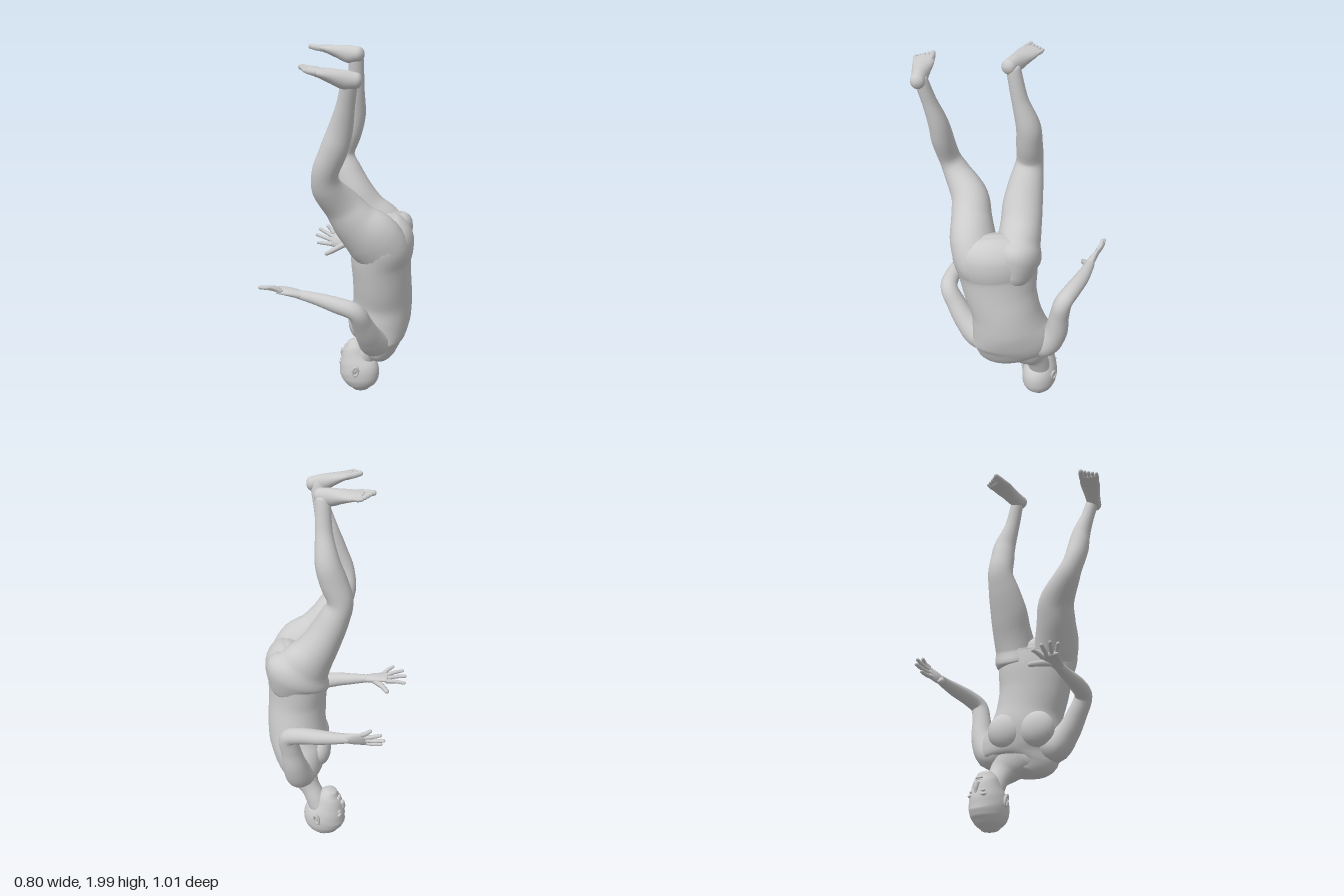
import * as THREE from 'three';

const material = new THREE.MeshStandardMaterial({ color: 0xcccccc, side: THREE.DoubleSide });
const V = (x, y, z) => new THREE.Vector3(x, y, z);

// Smooth loft through rows of [x, y, z, radius along ref, radius across], with rounded ends
function loft(name, rows, { ref = V(1, 0, 0), sides = 20, steps = 5, cap = 0.7 } = {}) {
  const path = new THREE.CatmullRomCurve3(rows.map(r => V(r[0], r[1], r[2])));
  const size = new THREE.CatmullRomCurve3(rows.map(r => V(r[3], r[4], 0)));
  const n = (rows.length - 1) * steps, pos = [], idx = [];
  let u = ref.clone(), rings = 0;
  const ring = (c, u, v, a, b) => {
    for (let j = 0; j < sides; j++) {
      const t = j / sides * Math.PI * 2;
      const p = c.clone().addScaledVector(u, a * Math.cos(t)).addScaledVector(v, b * Math.sin(t));
      pos.push(p.x, p.y, p.z);
    }
    rings++;
  };
  for (let i = 0; i <= n; i++) {
    const c = path.getPoint(i / n), s = size.getPoint(i / n), t = path.getTangent(i / n);
    u = u.addScaledVector(t, -u.dot(t)).normalize();
    const v = t.clone().cross(u);
    const end = dir => {
      for (let k = 1; k <= 4; k++) {
        const f = (dir < 0 ? 5 - k : k) / 4 * Math.PI / 2 * 0.98;
        const h = Math.min(s.x, s.y) * cap * Math.sin(f) * dir, q = Math.cos(f);
        ring(c.clone().addScaledVector(t, h), u, v, s.x * q, s.y * q);
      }
    };
    if (i === 0) end(-1);
    ring(c, u, v, s.x, s.y);
    if (i === n) end(1);
  }
  for (let i = 0; i < rings - 1; i++) for (let j = 0; j < sides; j++) {
    const k = (j + 1) % sides, a = i * sides, b = a + sides;
    idx.push(a + j, a + k, b + k, a + j, b + k, b + j);
  }
  const g = new THREE.BufferGeometry();
  g.setAttribute('position', new THREE.Float32BufferAttribute(pos, 3));
  g.setIndex(idx);
  g.computeVertexNormals();
  const m = new THREE.Mesh(g, material);
  m.name = name;
  return m;
}

function ball(name, p, r) {
  const m = new THREE.Mesh(new THREE.SphereGeometry(1, 20, 14), material);
  m.position.set(...p);
  m.scale.set(...r);
  m.name = name;
  return m;
}

function group(name, ...parts) {
  const g = new THREE.Group();
  g.name = name;
  return g.add(...parts);
}

// Finger or toe: a thin tapered loft through points
const digit = (name, pts, r) => loft(name,
  pts.map((p, i) => [...p, r * (1 - 0.14 * i), r * (1 - 0.14 * i)]), { ref: V(0.2, 0.9, 0.3), sides: 8, steps: 3, cap: 1 });

// Hand: palm loft, four fingers fanned from the knuckle line, and a thumb
function hand(name, palm, normal, knuckles, tips, thumb) {
  const g = group(name, loft('palm', palm, { ref: normal, sides: 16 }), digit('thumb', thumb, 0.018));
  const [a, b] = knuckles.map(k => V(...k));
  tips.forEach((tip, i) => {
    const base = a.clone().lerp(b, i / 3), end = V(...tip);
    const mid = base.clone().lerp(end, 0.5).addScaledVector(normal, 0.004);
    g.add(digit('finger', [base.toArray(), mid.toArray(), tip], 0.013));
  });
  return g;
}

// Foot with the sole upward at y = 0 and toes toward -x; side is the z sign of the big toe
function foot(name, side, position, rotation) {
  const g = group(name, loft('instep', [
    [0.022, -0.037, 0, 0.037, 0.036], [-0.03, -0.04, 0, 0.045, 0.04], [-0.09, -0.031, 0, 0.035, 0.047],
    [-0.15, -0.022, 0, 0.023, 0.055], [-0.2, -0.017, 0, 0.016, 0.05]], { ref: V(0, 1, 0) }));
  for (let i = 0; i < 5; i++) {
    const z = side * (0.036 - i * 0.021), tip = -0.242 + i * 0.007;
    const r = i === 0 ? 0.019 : 0.0145 - i * 0.0005;
    g.add(digit('toe', [[-0.17, -0.019, z * 0.9], [(tip - 0.18) / 2, -0.017, z], [tip, -0.013, z]], r));
  }
  g.position.set(...position);
  g.rotation.set(...rotation);
  return g;
}

function makeHead() {
  const g = group('head', loft('skull', [
    [0.015, -0.1, 0, 0.05, 0.047], [0.013, -0.075, 0, 0.086, 0.073], [0.01, -0.035, 0, 0.111, 0.091],
    [0.003, 0.01, 0, 0.119, 0.095], [-0.012, 0.06, 0, 0.104, 0.088], [-0.02, 0.1, 0, 0.084, 0.076],
    [-0.026, 0.15, 0, 0.062, 0.06], [-0.035, 0.182, 0, 0.036, 0.038]], { sides: 28, cap: 0.3 }));
  g.add(loft('nose', [[-0.1, 0.068, 0, 0.01, 0.009], [-0.104, 0.092, 0, 0.012, 0.012],
    [-0.097, 0.114, 0, 0.017, 0.017]], { sides: 12 }));
  for (const y of [0.136, 0.147]) g.add(ball('lip', [-0.08, y, 0], [0.011, 0.007, 0.024]));
  for (const s of [-1, 1]) {
    g.add(ball('eye', [-0.092, 0.074, s * 0.034], [0.011, 0.009, 0.016]));
    g.add(ball('brow', [-0.096, 0.054, s * 0.035], [0.011, 0.01, 0.024]));
    // Ear: a rim around a shallow bowl
    const rim = new THREE.Mesh(new THREE.TorusGeometry(0.022, 0.007, 8, 20), material);
    rim.name = 'earRim';
    rim.scale.set(0.75, 1.3, 1);
    const ear = group('ear', rim, ball('earBowl', [-0.004, 0.004, -s * 0.005], [0.016, 0.026, 0.008]));
    ear.position.set(0.022, 0.035, s * 0.095);
    ear.rotation.set(s * 0.15, s * 0.3, -0.2);
    g.add(ear);
  }
  g.position.set(0.1, 0.12, -0.172);
  g.rotation.y = -0.35;
  return g;
}

export function createModel() {
  const model = group('invertedFigure', makeHead());

  // Neck and trunk, from the shoulders up to the hips
  model.add(loft('neck', [
    [0.13, 0.2, -0.172, 0.062, 0.062], [0.172, 0.29, -0.15, 0.054, 0.06], [0.205, 0.35, -0.115, 0.072, 0.09],
    [0.22, 0.43, -0.05, 0.1, 0.15]]));
  model.add(loft('torso', [
    [0.2, 0.335, -0.045, 0.06, 0.115], [0.22, 0.385, -0.032, 0.105, 0.195], [0.23, 0.46, -0.03, 0.138, 0.225],
    [0.236, 0.56, -0.01, 0.16, 0.2], [0.241, 0.66, 0.008, 0.159, 0.184], [0.236, 0.78, 0.036, 0.157, 0.193],
    [0.23, 0.9, 0.05, 0.161, 0.21], [0.237, 0.99, 0.06, 0.166, 0.223], [0.222, 1.04, 0.064, 0.143, 0.2],
    [0.205, 1.07, 0.068, 0.1, 0.14]], { sides: 32, cap: 0.25 }));
  for (const z of [-0.09, 0.075]) model.add(ball('chestMuscle', [0.13, 0.535, z], [0.07, 0.1, 0.1]));

  // Legs, starting inside the hips
  model.add(loft('rightLeg', [
    [0.24, 0.86, 0.11, 0.1, 0.09], [0.244, 0.95, 0.15, 0.142, 0.118], [0.195, 1.03, 0.178, 0.15, 0.118],
    [0.105, 1.12, 0.201, 0.118, 0.106], [0.04, 1.21, 0.22, 0.096, 0.098],
    [-0.03, 1.32, 0.298, 0.077, 0.07], [-0.035, 1.4, 0.336, 0.066, 0.057], [0.01, 1.52, 0.358, 0.068, 0.058],
    [0.042, 1.62, 0.37, 0.061, 0.051], [0.072, 1.75, 0.405, 0.044, 0.037], [0.092, 1.86, 0.435, 0.039, 0.034]],
  { sides: 24 }));
  model.add(loft('leftLeg', [
    [0.24, 0.86, -0.015, 0.1, 0.09], [0.244, 0.95, -0.047, 0.144, 0.112], [0.197, 1.04, -0.056, 0.144, 0.112],
    [0.135, 1.13, -0.062, 0.11, 0.106], [0.09, 1.21, -0.064, 0.095, 0.103],
    [0.04, 1.32, -0.077, 0.08, 0.088], [0.008, 1.42, -0.09, 0.067, 0.07], [0.04, 1.53, -0.09, 0.071, 0.067],
    [0.07, 1.63, -0.087, 0.064, 0.062], [0.085, 1.78, -0.045, 0.043, 0.041], [0.087, 1.93, -0.015, 0.038, 0.035]],
  { sides: 24 }));
  model.add(foot('rightFoot', -1, [0.108, 1.9, 0.447], [0.08, 0.02, -0.12]));
  model.add(foot('leftFoot', 1, [0.085, 1.983, -0.005], [-0.1, -0.42, -0.06]));

  // Arms
  const armRef = V(0.8, 0, 0.6);
  model.add(loft('rightArm', [
    [0.22, 0.49, 0.06, 0.09, 0.09], [0.205, 0.45, 0.152, 0.083, 0.083], [0.18, 0.51, 0.228, 0.067, 0.065],
    [0.15, 0.6, 0.29, 0.054, 0.053], [0.115, 0.685, 0.336, 0.046, 0.047], [0.02, 0.715, 0.325, 0.042, 0.042],
    [-0.09, 0.735, 0.293, 0.031, 0.033], [-0.18, 0.747, 0.272, 0.022, 0.026]], { ref: armRef }));
  model.add(loft('leftArm', [
    [0.22, 0.49, -0.09, 0.09, 0.09], [0.235, 0.445, -0.198, 0.082, 0.082], [0.26, 0.54, -0.262, 0.066, 0.064],
    [0.283, 0.66, -0.281, 0.053, 0.052], [0.292, 0.755, -0.3, 0.049, 0.047], [0.235, 0.79, -0.338, 0.044, 0.044],
    [0.14, 0.807, -0.382, 0.038, 0.039], [0.06, 0.815, -0.408, 0.03, 0.031], [-0.005, 0.822, -0.425, 0.023, 0.025]],
  { ref: armRef }));

  // Hands
  model.add(hand('rightHand',
    [[-0.16, 0.744, 0.277, 0.021, 0.026], [-0.22, 0.755, 0.264, 0.019, 0.042], [-0.285, 0.762, 0.255, 0.013, 0.05]],
    V(0, 1, 0), [[-0.28, 0.755, 0.22], [-0.275, 0.768, 0.292]],
    [[-0.38, 0.75, 0.2], [-0.39, 0.768, 0.245], [-0.38, 0.782, 0.285], [-0.328, 0.795, 0.312]],
    [[-0.21, 0.748, 0.245], [-0.25, 0.737, 0.2], [-0.275, 0.725, 0.158]]));
  model.add(hand('leftHand',
    [[0.01, 0.82, -0.42, 0.021, 0.026], [-0.04, 0.825, -0.435, 0.019, 0.041], [-0.085, 0.835, -0.455, 0.013, 0.046]],
    V(0.26, -0.33, -0.85).normalize(), [[-0.088, 0.805, -0.44], [-0.075, 0.868, -0.463]],
    [[-0.168, 0.805, -0.462], [-0.178, 0.845, -0.49], [-0.16, 0.88, -0.493], [-0.112, 0.902, -0.483]],
    [[-0.01, 0.812, -0.415], [-0.065, 0.785, -0.39], [-0.11, 0.763, -0.382]]));

  return model;
}
